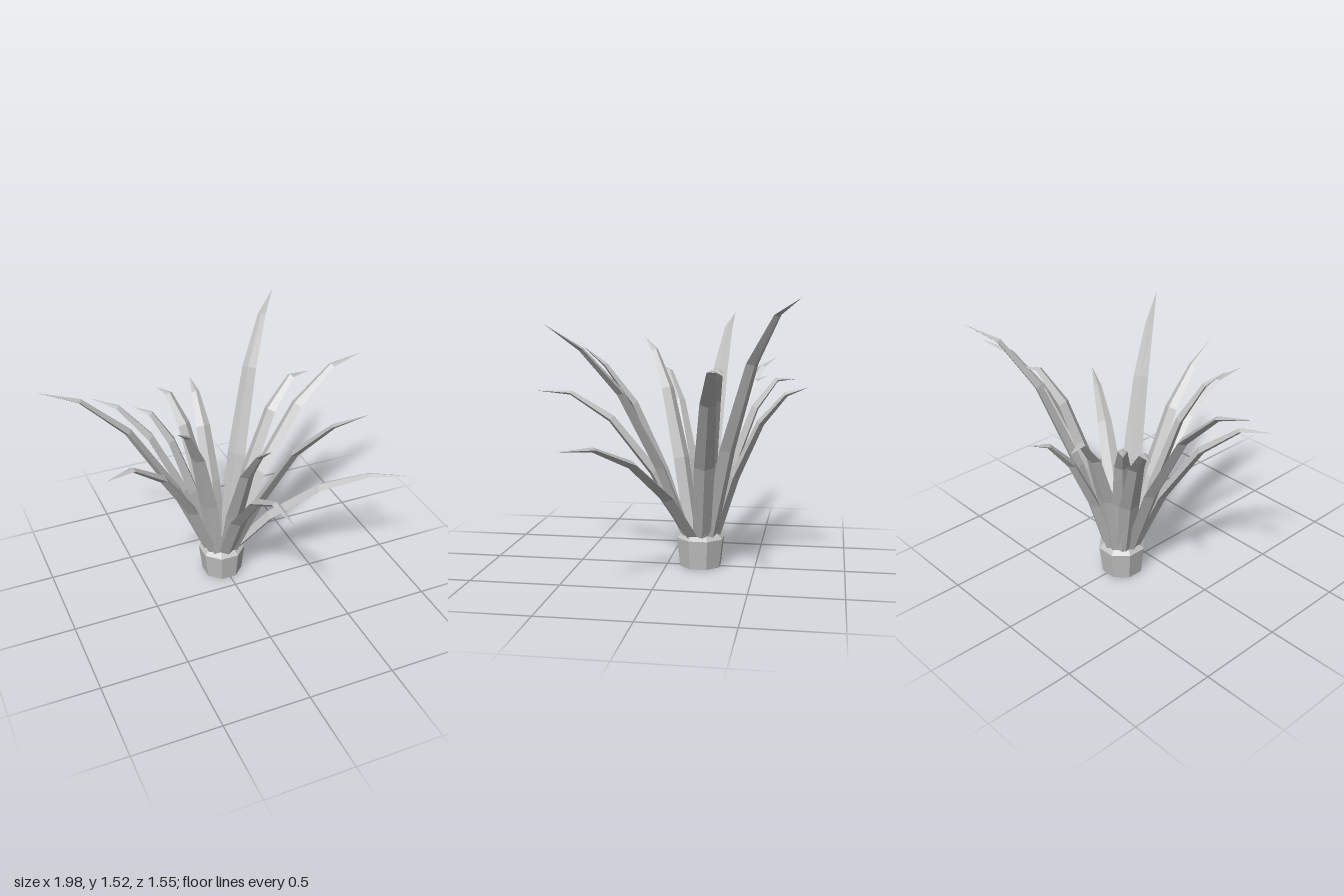
import * as THREE from 'three';

const CENTRE = { x: -0.01, z: -0.19 };
const BASE_RADIUS = 0.085, BASE_Y = 0.18;

// Half width and half thickness of the diamond section at each station
const HALF_WIDTH = [0.05, 0.056, 0.043, 0.024, 0];
const HALF_DEPTH = [0.026, 0.028, 0.022, 0.013, 0];

// Tip position of each leaf, then the share of its height reached at the last bend
const LEAVES = [
  [-1.0, 1.4, -0.28, 0.93],
  [-0.65, 1.14, -0.57, 0.95],
  [-0.41, 1.05, -0.53, 0.97],
  [-0.21, 1.05, -0.70, 1.0],
  [0.03, 1.03, -0.78, 0.95],
  [0.56, 1.52, -0.75, 0.935],
  [0.63, 1.14, -0.38, 1.015],
  [0.98, 1.19, -0.38, 0.98],
  [0.91, 0.79, 0.39, 0.97],
  [0.49, 1.38, 0.56, 0.89],
  [-0.02, 0.98, 0.77, 0.99],
  [-0.02, 1.25, 0.50, 0.89],
  [-0.41, 1.28, 0.21, 0.925],
  [-0.79, 1.07, 0.17, 0.98],
];

// Tapered, arching blade with a ridge above and below
function leafGeometry([tx, ty, tz, bend]) {
  const up = new THREE.Vector3(0, 1, 0);
  const out = new THREE.Vector3(tx - CENTRE.x, 0, tz - CENTRE.z);
  const reach = out.length() - BASE_RADIUS;
  out.normalize();
  const side = new THREE.Vector3().crossVectors(up, out);

  const spreads = [0, 0.21, 0.49, 0.76, 1];
  const heights = [0, 0.34 + (bend - 0.89), 0.69 + (bend - 0.89) * 1.2, bend, 1];
  const spine = spreads.map((s, i) => new THREE.Vector2(
    BASE_RADIUS + s * reach, BASE_Y + heights[i] * (ty - BASE_Y)));

  const rings = spine.map((p, i) => {
    const t = spine[Math.min(i + 1, 4)].clone().sub(spine[Math.max(i - 1, 0)]).normalize();
    const normal = out.clone().multiplyScalar(-t.y).addScaledVector(up, t.x);
    const mid = new THREE.Vector3(CENTRE.x, p.y, CENTRE.z).addScaledVector(out, p.x);
    const w = HALF_WIDTH[i], d = HALF_DEPTH[i];
    return [
      mid.clone().addScaledVector(side, w), mid.clone().addScaledVector(normal, d),
      mid.clone().addScaledVector(side, -w), mid.clone().addScaledVector(normal, -d),
    ];
  });

  const points = [];
  for (let i = 0; i < 4; i++) {
    for (let j = 0; j < 4; j++) {
      const k = (j + 1) % 4;
      const a = rings[i][j], b = rings[i][k], c = rings[i + 1][k], d = rings[i + 1][j];
      points.push(a, b, c);
      if (i < 3) points.push(a, c, d);
    }
  }
  const [a, b, c, d] = rings[0];
  points.push(a, c, b, a, d, c);
  const geometry = new THREE.BufferGeometry().setFromPoints(points);
  geometry.computeVertexNormals();
  return geometry;
}

export function createModel() {
  const model = new THREE.Group();
  model.name = 'pottedPlant';
  const grey = new THREE.MeshStandardMaterial({ color: 0xc0c0c0, flatShading: true });
  grey.name = 'plain grey';

  const add = (name, geometry) => {
    const mesh = new THREE.Mesh(geometry, grey);
    mesh.name = name;
    model.add(mesh);
    return mesh;
  };

  // Eight-sided tapered pot with a bevelled shoulder
  const pot = add('pot', new THREE.CylinderGeometry(0.139, 0.12, 0.165, 8, 1, false, Math.PI / 8));
  pot.position.set(CENTRE.x, 0.0825, CENTRE.z);
  const shoulder = add('potShoulder', new THREE.CylinderGeometry(0.095, 0.139, 0.037, 8, 1, false, Math.PI / 8));
  shoulder.position.set(CENTRE.x, 0.1835, CENTRE.z);

  // Rosette of leaves
  LEAVES.forEach((leaf, i) => add(`leaf${i + 1}`, leafGeometry(leaf)));
  return model;
}
